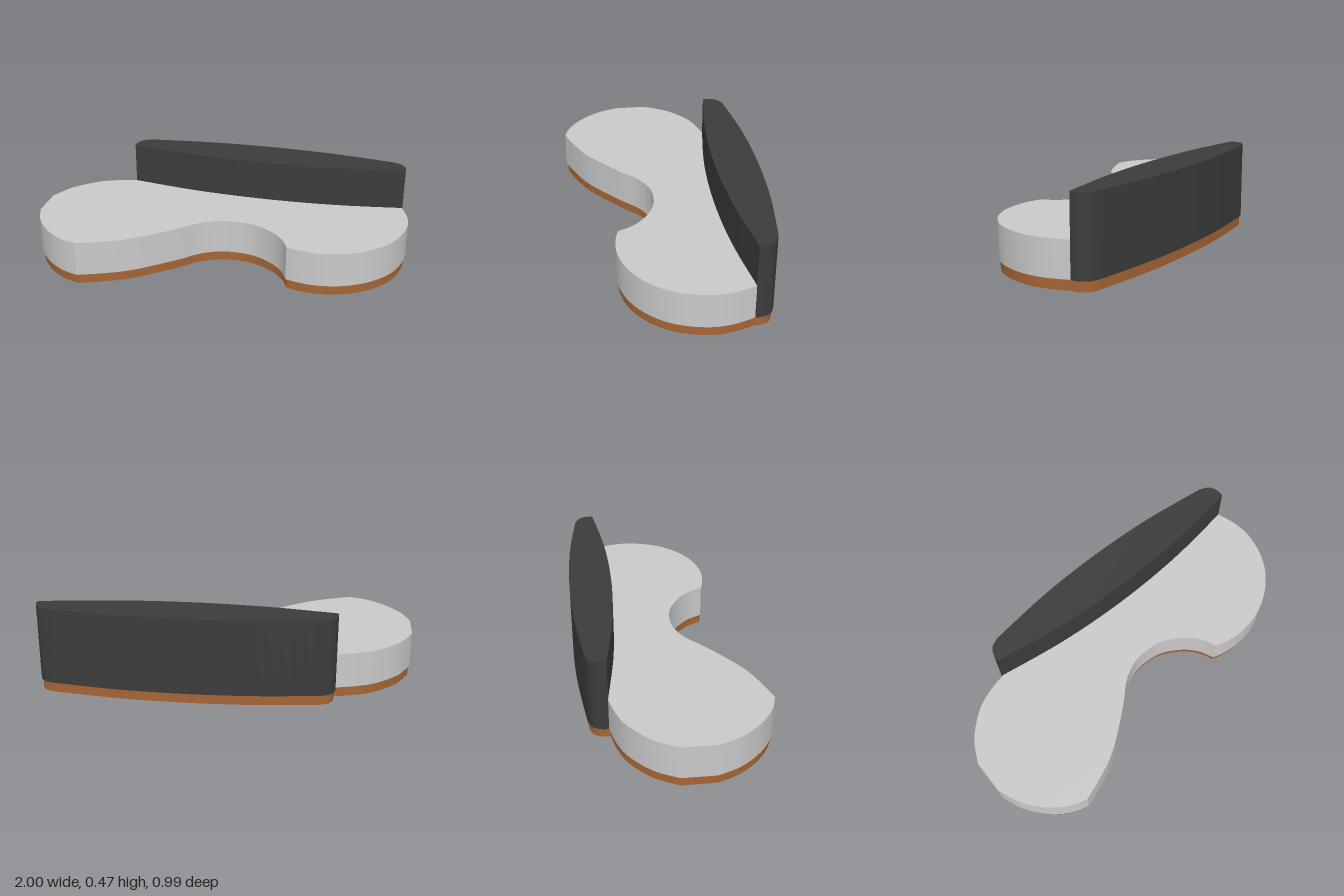
import * as THREE from 'three';
import { toCreasedNormals } from 'three/addons/utils/BufferGeometryUtils.js';

// Smooth run of plan points, given as [x, z]; plan shapes use (x, -z)
const run = (pts, n) =>
  new THREE.SplineCurve(pts.map(([x, z]) => new THREE.Vector2(x, -z))).getPoints(n);

// Join runs into one closed outline, dropping coincident points
function outline(...runs) {
  const pts = runs.flat();
  return pts.filter((p, i) => p.distanceTo(pts[(i + 1) % pts.length]) > 1e-4);
}

// Move an anticlockwise outline inwards by d with mitred corners
function inset(pts, d) {
  const n = pts.length;
  const normal = (a, b) => new THREE.Vector2(a.y - b.y, b.x - a.x).normalize();
  return pts.map((p, i) => {
    const a = normal(pts[(i + n - 1) % n], p);
    const b = normal(p, pts[(i + 1) % n]);
    const m = a.clone().add(b);
    return p.clone().addScaledVector(m, d / Math.max(0.5, 1 + a.dot(b)));
  });
}

// Upright slab from a plan outline, between two heights
function slab(name, pts, y0, y1, material, hole) {
  const shape = new THREE.Shape(pts);
  if (hole) shape.holes.push(new THREE.Path(hole));
  let geo = new THREE.ExtrudeGeometry(shape, { depth: y1 - y0, bevelEnabled: false });
  geo.rotateX(-Math.PI / 2).translate(0, y0, 0);
  geo = toCreasedNormals(geo, 0.45);
  const mesh = new THREE.Mesh(geo, material);
  mesh.name = name;
  return mesh;
}

export function createModel() {
  const fabric = new THREE.MeshStandardMaterial({ name: 'light grey fabric', color: 0xcacaca });
  const dark = new THREE.MeshStandardMaterial({ name: 'charcoal fabric', color: 0x3c3c3c });
  const wood = new THREE.MeshStandardMaterial({ name: 'brown wood', color: 0xa66534 });

  // Seat edge, anticlockwise from the right back corner round the front
  const rightBack = run([[-0.6, -0.335], [-0.7, -0.31], [-0.81, -0.26], [-0.93, -0.15], [-1, -0.02]], 16);
  const rightFront = run([[-1, 0.16], [-0.95, 0.28], [-0.86, 0.39], [-0.76, 0.46], [-0.67, 0.49]], 16);
  const scoop = run([[-0.67, 0.49], [-0.55, 0.445], [-0.4, 0.37], [-0.2, 0.21], [-0.1, 0.115],
    [0, 0.062], [0.1, 0.05], [0.2, 0.065], [0.3, 0.12], [0.37, 0.19], [0.41, 0.27]], 40);
  const leftLobe = run([[0.41, 0.27], [0.48, 0.288], [0.58, 0.295], [0.7, 0.272], [0.82, 0.21],
    [0.92, 0.11], [0.975, 0], [1, -0.12], [0.99, -0.23], [0.955, -0.335]], 36);
  const seatEdge = [rightBack, rightFront, scoop, leftLobe];

  // Backrest: bowed front, rounded ends and bowed rear
  const backFront = run([[-0.6, -0.335], [-0.22, -0.283], [0.177, -0.265], [0.575, -0.283], [0.955, -0.335]], 24);
  const leftEnd = run([[0.955, -0.335], [0.953, -0.375], [0.93, -0.418], [0.88, -0.441]], 10);
  const backRear = run([[0.88, -0.441], [0.53, -0.482], [0.177, -0.495], [-0.175, -0.482], [-0.525, -0.441]], 24);
  const rightEnd = run([[-0.525, -0.441], [-0.575, -0.418], [-0.598, -0.375], [-0.6, -0.335]], 10);
  const backEdge = [leftEnd, backRear, rightEnd];

  // Hollow plinth follows the whole plan, slightly set in
  const whole = outline(...seatEdge, ...backEdge);
  const plinthInner = inset(whole, 0.03);

  const sofa = new THREE.Group();
  sofa.name = 'curvedSofa';
  sofa.add(
    slab('seat', outline(...seatEdge), 0.055, 0.245, fabric),
    slab('backrest', outline(backFront, ...backEdge), 0.055, 0.47, dark),
    slab('plinth', inset(whole, 0.009), 0, 0.055, wood, plinthInner),
    slab('underside', plinthInner, 0.048, 0.0545, fabric),
  );
  return sofa;
}
